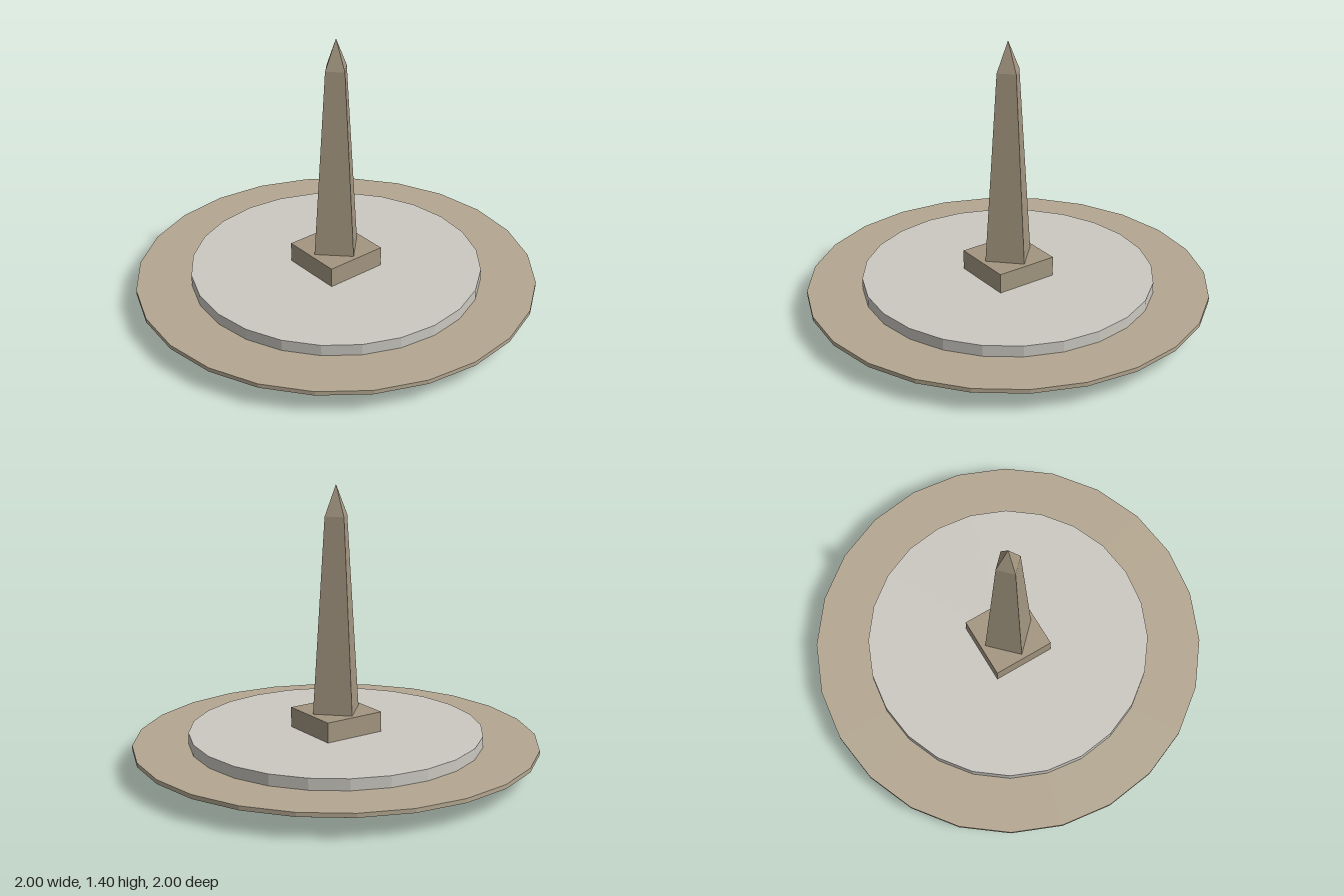
import * as THREE from 'three';

const SIDES = 24;

function add(parent, name, geometry, color, y = 0, side = THREE.FrontSide) {
  const material = new THREE.MeshStandardMaterial({ color, flatShading: true, side });
  const mesh = new THREE.Mesh(geometry, material);
  mesh.name = name;
  mesh.position.y = y;
  parent.add(mesh);
  return mesh;
}

export function createModel() {
  const group = new THREE.Group();
  group.name = 'obeliskOnRoundBase';
  const stone = 0xa39680, sand = 0xb4a791, pale = 0xcbc8c1;

  // Drum: thin wall open underneath, closed on top
  const drumProfile = [[0.725, 0], [0.725, 0.185], [0, 0.185]].map(([r, y]) => new THREE.Vector2(r, y));
  add(group, 'drum', new THREE.LatheGeometry(drumProfile, SIDES), pale, 0, THREE.DoubleSide);

  // Wide thin disc running through the drum
  add(group, 'disc', new THREE.CylinderGeometry(1, 1, 0.021, SIDES), sand, 0.1175);

  // Square plinth, reaching just below the disc
  const plinthBottom = 0.104, plinthTop = 0.285;
  add(group, 'plinth', new THREE.BoxGeometry(0.318, plinthTop - plinthBottom, 0.318),
    stone, (plinthTop + plinthBottom) / 2);

  // Four-sided obelisk with its corners on the axes, and a pointed cap
  const obeliskProfile = [[0, 0.28], [0.137, 0.28], [0.066, 1.25], [0, 1.4]]
    .map(([r, y]) => new THREE.Vector2(r, y));
  add(group, 'obelisk', new THREE.LatheGeometry(obeliskProfile, 4), stone);

  return group;
}
